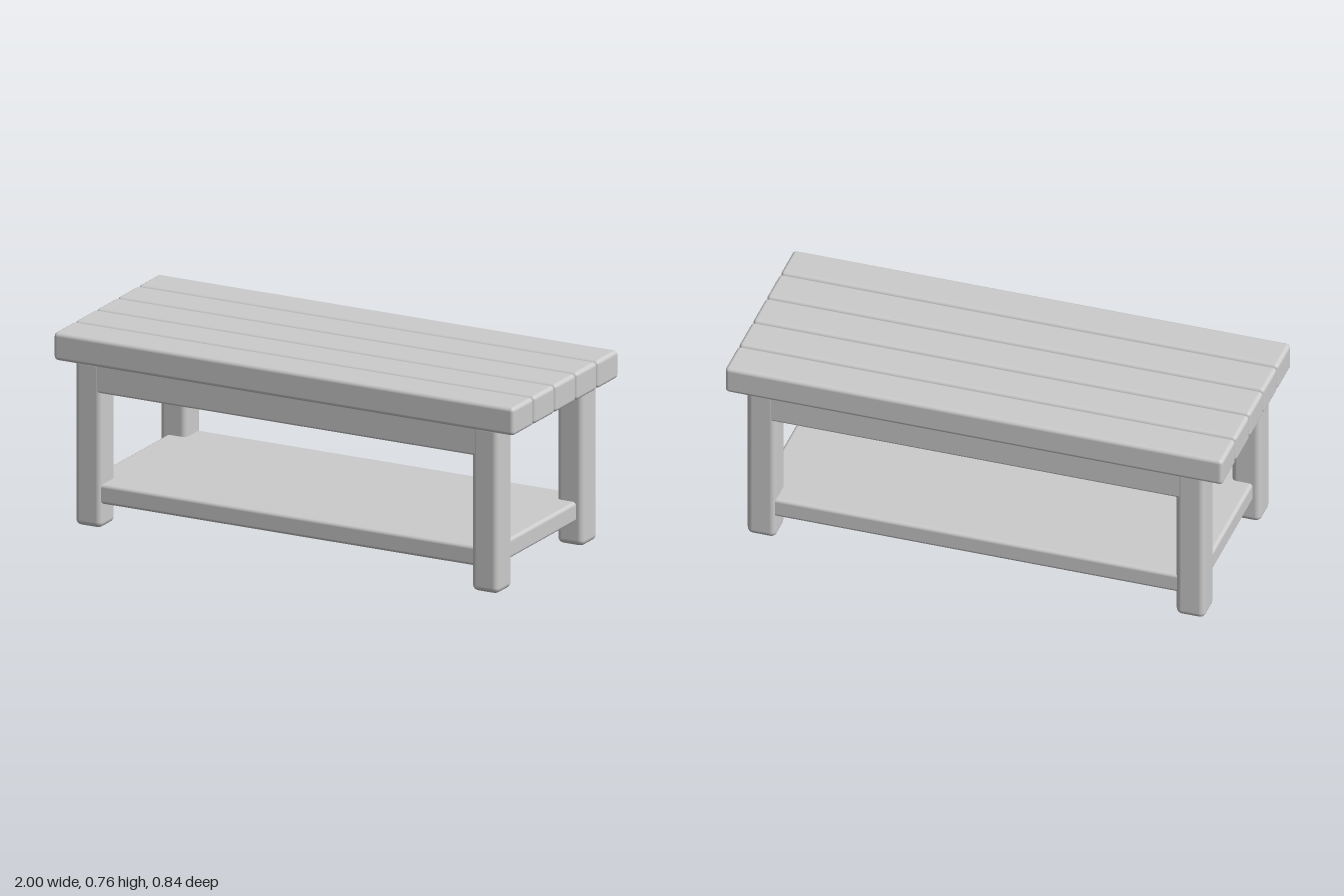
import * as THREE from 'three';
import { RoundedBoxGeometry } from 'three/addons/geometries/RoundedBoxGeometry.js';

export function createModel() {
  const model = new THREE.Group();
  model.name = 'slattedTable';
  const grey = new THREE.MeshStandardMaterial({ name: 'plainGrey', color: 0xcccccc });

  // Rounded bar placed by its centre in x and z and by its bottom and top
  const addBar = (name, width, depth, bottom, top, x, z, radius) => {
    const geometry = new RoundedBoxGeometry(width, top - bottom, depth, 3, radius);
    const mesh = new THREE.Mesh(geometry, grey);
    mesh.name = name;
    mesh.position.set(x, (bottom + top) / 2, z);
    model.add(mesh);
  };

  // Table top: five long slats with narrow gaps
  for (let i = -2; i <= 2; i++) {
    addBar('topSlat', 2, 0.164, 0.653, 0.765, 0, i * 0.169, 0.016);
  }

  for (const side of [-1, 1]) {
    // Legs, two on each long side
    for (const end of [-1, 1]) {
      addBar('leg', 0.117, 0.12, 0, 0.67, end * 0.862, side * 0.34, 0.024);
    }
    // Long rail under the top, level with the outer leg faces
    addBar('longRail', 1.77, 0.1, 0.543, 0.66, 0, side * 0.349, 0.01);
  }

  // Lower shelf, let into the legs
  addBar('lowerShelf', 1.78, 0.78, 0.097, 0.177, 0, 0, 0.014);

  return model;
}
